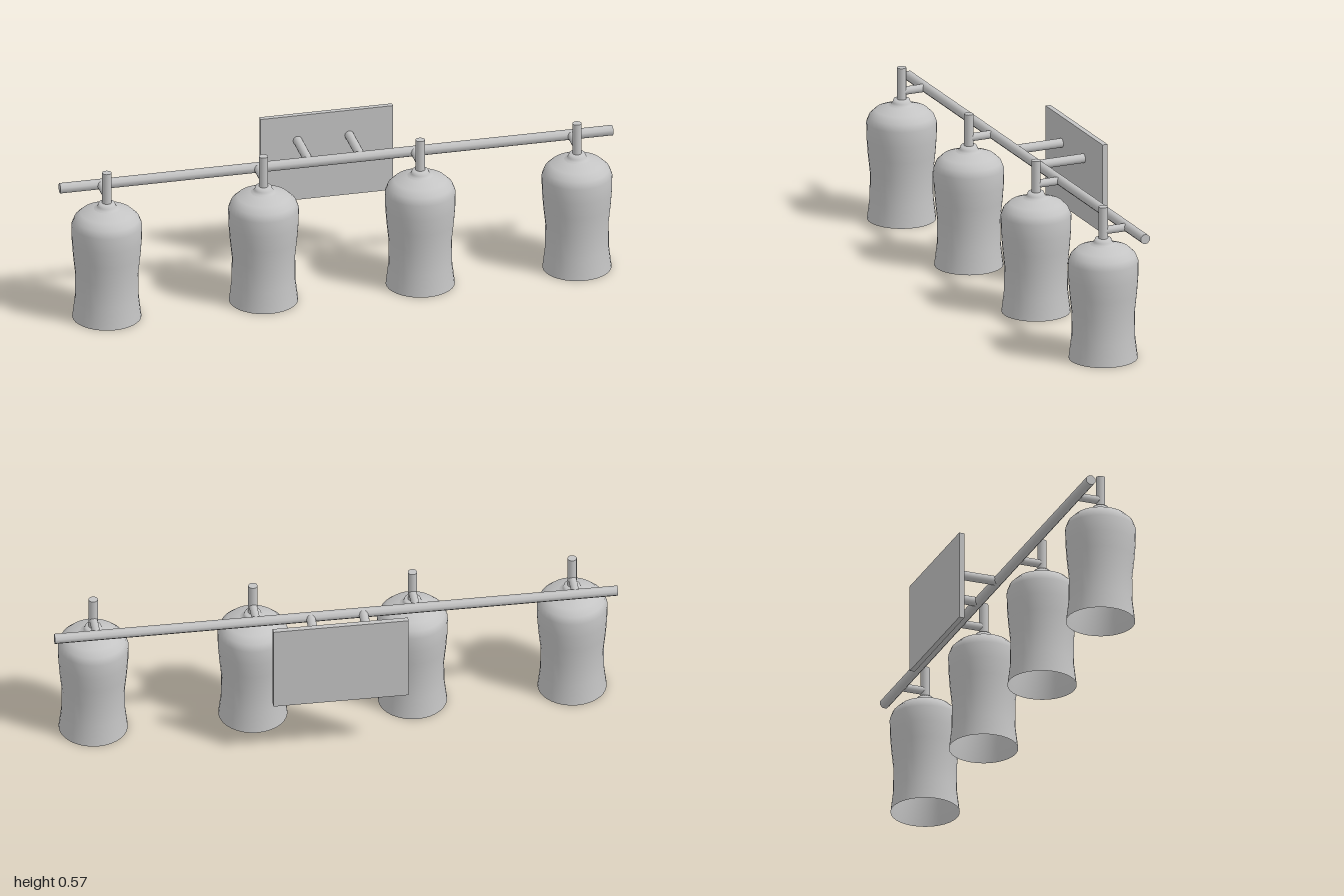
import * as THREE from 'three';

export function createModel() {
  const group = new THREE.Group();
  group.name = 'wallLight';

  const metal = new THREE.MeshStandardMaterial({ color: 0xc4c4c4, side: THREE.DoubleSide });
  metal.name = 'grey';

  const add = (name, geometry, x, y, z, parent = group) => {
    const mesh = new THREE.Mesh(geometry, metal);
    mesh.name = name;
    mesh.position.set(x, y, z);
    parent.add(mesh);
    return mesh;
  };
  const profile = (points) => points.map(([r, y]) => new THREE.Vector2(r, y));
  // Round bar along z between two depths
  const barZ = (radius, z0, z1) =>
    new THREE.CylinderGeometry(radius, radius, z1 - z0, 16).rotateX(Math.PI / 2).translate(0, 0, (z0 + z1) / 2);

  const barY = 0.47;
  const barDepth = -0.01;
  const lampDepth = 0.084;

  // Wall plate and the two arms that carry the crossbar
  add('wallPlate', new THREE.BoxGeometry(0.48, 0.328, 0.019), 0.01, 0.403, -0.1975);
  for (const x of [-0.096, 0.091]) add('wallArm', barZ(0.0165, -0.19, barDepth), x, barY, 0);

  // Long eight-sided crossbar
  const bar = new THREE.CylinderGeometry(0.0185, 0.0185, 2, 8).rotateY(Math.PI / 8).rotateZ(Math.PI / 2);
  add('crossbar', bar, 0, barY, barDepth);

  // Open glass shade: flared rim, narrow waist, rounded shoulder
  const shade = new THREE.LatheGeometry(profile([
    [0.122, 0], [0.1125, 0.08], [0.1115, 0.17], [0.119, 0.24], [0.1235, 0.3],
    [0.1245, 0.357], [0.115, 0.382], [0.093, 0.403], [0.045, 0.42], [0.02, 0.426],
  ]), 32);

  // Flared collar on top of the shade
  const collar = new THREE.LatheGeometry(profile([
    [0.05, 0.418], [0.038, 0.423], [0.032, 0.43], [0.028, 0.442], [0, 0.442],
  ]), 24);

  const stem = new THREE.CylinderGeometry(0.0165, 0.0165, 0.127, 16);
  const lampArm = barZ(0.0145, barDepth, lampDepth);

  // Four lamps spaced along the crossbar
  for (const x of [-0.852, -0.285, 0.282, 0.849]) {
    const lamp = new THREE.Group();
    lamp.name = 'lamp';
    lamp.position.x = x;
    add('shade', shade, 0, 0, lampDepth, lamp);
    add('collar', collar, 0, 0, lampDepth, lamp);
    add('stem', stem, 0, 0.4945, lampDepth, lamp);
    add('lampArm', lampArm, 0, barY, 0, lamp);
    group.add(lamp);
  }
  return group;
}
